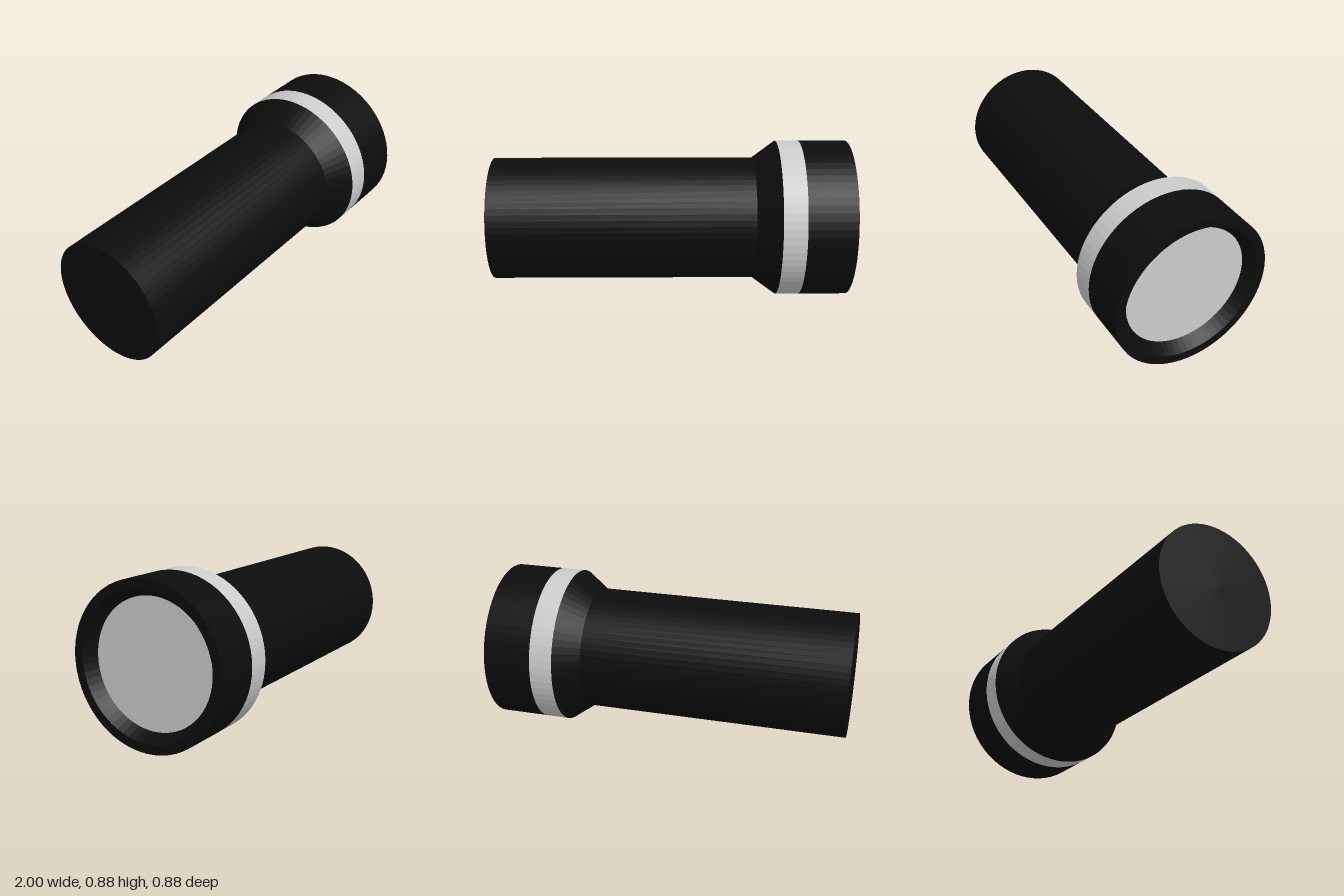
import * as THREE from 'three';

const SIDES = 64;
const AXIS_Y = 0.44;

// Surface of revolution about the x axis; points are [x, radius], ordered so outer walls run towards +x
function turned(name, points, material) {
  const profile = points.map(([x, r]) => new THREE.Vector2(r, x));
  const geometry = new THREE.LatheGeometry(profile, SIDES);
  geometry.rotateZ(-Math.PI / 2);
  geometry.translate(0, AXIS_Y, 0);
  const mesh = new THREE.Mesh(geometry, material);
  mesh.name = name;
  return mesh;
}

export function createModel() {
  const group = new THREE.Group();
  group.name = 'flashlight';
  const finish = (color) => new THREE.MeshStandardMaterial({ color, flatShading: true });
  const black = finish(0x0d0d0d);
  const silver = finish(0xcccccc);

  // Handle with closed tail, flaring out to the head
  group.add(turned('handle', [[-1, 0], [-1, 0.345], [0.47, 0.345]], black));
  group.add(turned('flare', [[0.47, 0.345], [0.6, 0.44]], black));

  // Bright band around the head
  group.add(turned('band', [[0.6, 0.44], [0.73, 0.44]], silver));

  // Bezel with a front lip that slopes in to the lens
  group.add(turned('bezel', [[0.73, 0.44], [1, 0.44], [1, 0.39], [0.935, 0.345]], black));

  // Flat recessed lens
  group.add(turned('lens', [[0.935, 0.345], [0.935, 0]], silver));
  return group;
}
